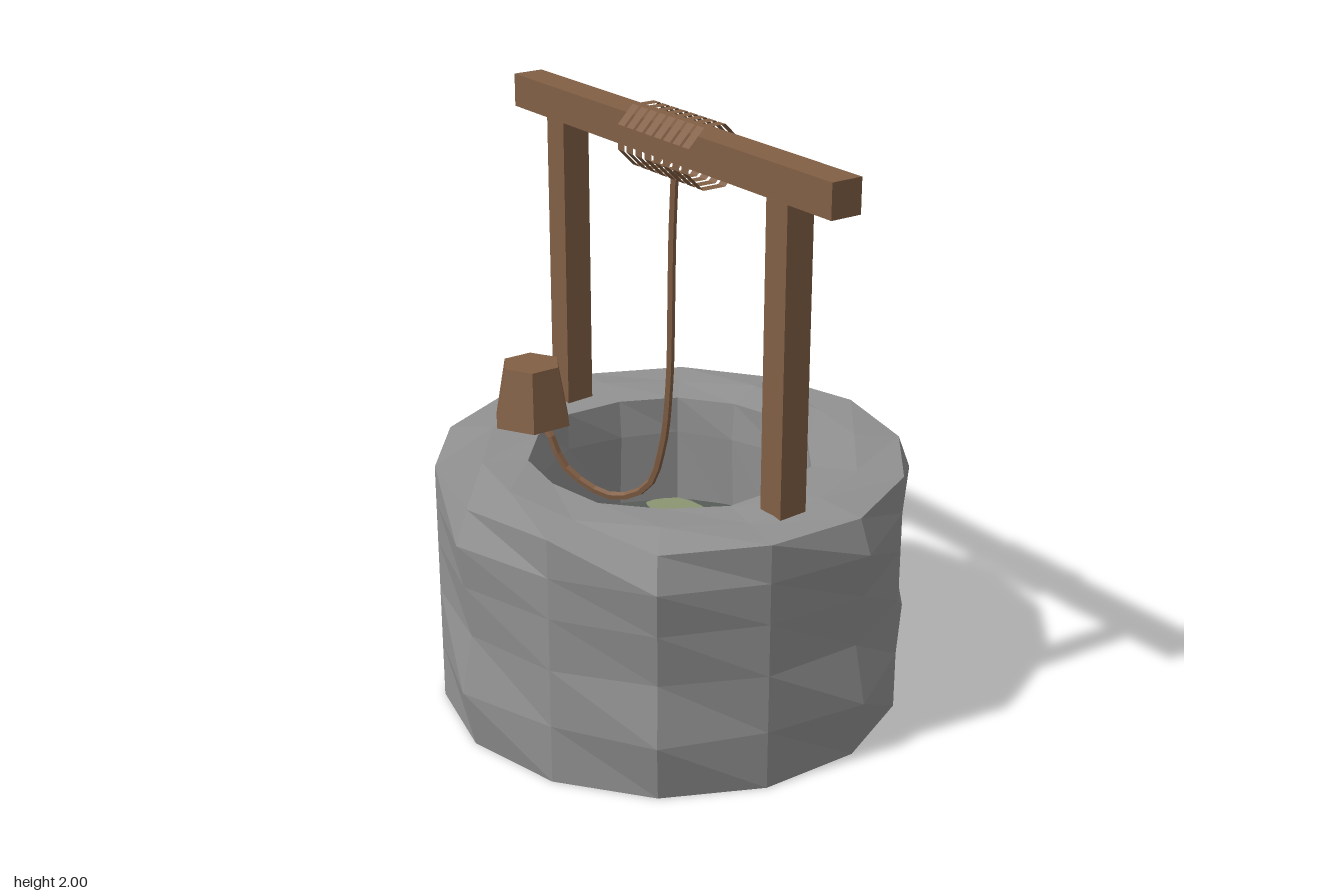
import * as THREE from 'three';

const CZ = -0.022; // depth of the well's axis
const SIDES = 14;

function material(name, color, side = THREE.FrontSide) {
  const m = new THREE.MeshStandardMaterial({ color, side, flatShading: true });
  m.name = name;
  return m;
}

// Ring swept from a closed profile; every other corner uses the bulged radius.
// Each profile entry: [y even, y odd, radius even, radius odd]
function stoneRing(profile) {
  const pos = [], index = [], n = profile.length;
  for (let k = 0; k < SIDES; k++) {
    const a = (k / SIDES) * Math.PI * 2, odd = k % 2;
    for (const p of profile) {
      const r = p[2 + odd];
      pos.push(r * Math.sin(a), p[odd], CZ - r * Math.cos(a));
    }
  }
  for (let k = 0; k < SIDES; k++) {
    const k2 = (k + 1) % SIDES;
    for (let i = 0; i < n; i++) {
      const j = (i + 1) % n;
      const a = k * n + i, b = k * n + j, c = k2 * n + j, d = k2 * n + i;
      index.push(a, b, c, a, c, d);
    }
  }
  const g = new THREE.BufferGeometry();
  g.setAttribute('position', new THREE.Float32BufferAttribute(pos, 3));
  g.setIndex(index);
  g.computeVertexNormals();
  return g;
}

// Flat rounded blob in the ground plane from [x, z] points
function blob(points) {
  const curve = new THREE.CatmullRomCurve3(
    points.map(([x, z]) => new THREE.Vector3(x, z, 0)), true);
  const outline = curve.getPoints(points.length * 3).slice(0, -1);
  const shape = new THREE.Shape(outline.map((p) => new THREE.Vector2(p.x, p.y)));
  return new THREE.ShapeGeometry(shape).rotateX(Math.PI / 2);
}

export function createModel() {
  const group = new THREE.Group();
  const stone = material('stone', 0x929292);
  const wood = material('wood', 0x825f45, THREE.DoubleSide);
  const water = material('water', 0x585c59, THREE.DoubleSide);
  const algae = material('algae', 0x8b9571, THREE.DoubleSide);

  const add = (name, geometry, mat, x = 0, y = 0, z = 0) => {
    const mesh = new THREE.Mesh(geometry, mat);
    mesh.name = name;
    mesh.position.set(x, y, z);
    group.add(mesh);
    return mesh;
  };

  // Stone wall, outside up, over the rim and down the inside
  add('stoneWall', stoneRing([
    [0, 0, 0.785, 0.787],
    [0.2, 0.2, 0.785, 0.827],
    [0.4, 0.4, 0.785, 0.787],
    [0.58, 0.58, 0.785, 0.808],
    [0.72, 0.73, 0.785, 0.829],
    [0.85, 0.845, 0.785, 0.787],
    [0.853, 0.866, 0.63, 0.63],
    [0.85, 0.852, 0.478, 0.468],
    [0.72, 0.72, 0.478, 0.452],
    [0.4, 0.4, 0.478, 0.47],
    [0.2, 0.2, 0.478, 0.455],
    [0, 0, 0.478, 0.475],
  ]), stone);

  // Water with algae patches on both faces
  const waterY = 0.46;
  add('water', new THREE.CircleGeometry(0.476, SIDES).rotateX(-Math.PI / 2), water, 0, waterY, CZ);
  const patches = [
    [[0, -0.48], [0.14, -0.43], [0.13, -0.35], [0.25, -0.36], [0.36, -0.31], [0.37, -0.22],
      [0.27, -0.22], [0.19, -0.28], [0.09, -0.29], [0.06, -0.19], [-0.03, -0.17],
      [-0.06, -0.24], [0.01, -0.32], [-0.11, -0.38]],
    [[-0.36, -0.32], [-0.2, -0.34], [-0.09, -0.28], [-0.13, -0.18], [-0.2, -0.25],
      [-0.3, -0.19], [-0.4, -0.2]],
    [[0.25, -0.18], [0.34, -0.14], [0.42, -0.16], [0.44, 0], [0.36, 0.1], [0.28, 0.02]],
    [[0.0, 0.04], [0.22, 0.03], [0.3, 0.12], [0.2, 0.19], [0.1, 0.16], [0.05, 0.1]],
    [[-0.32, 0.21], [-0.25, 0.28], [-0.13, 0.22], [-0.1, 0.32], [-0.2, 0.4], [-0.27, 0.33]],
    [[0.36, 0.14], [0.44, 0.08], [0.42, 0.18], [0.3, 0.3], [0.26, 0.25]],
    [[0.1, 0.35], [0.17, 0.35], [0.16, 0.41], [0.09, 0.4]],
    [[-0.34, 0.06], [-0.24, 0.04], [-0.21, 0.1], [-0.3, 0.14]],
    [[-0.14, -0.1], [-0.07, -0.12], [-0.05, -0.04], [-0.12, -0.03]],
  ];
  for (const points of patches) {
    const g = blob(points);
    for (const dy of [0.004, -0.004]) add('algaePatch', g, algae, 0, waterY + dy, 0);
  }

  // Timber frame
  for (const s of [-1, 1]) {
    add('post', new THREE.BoxGeometry(0.1, 1.06, 0.1), wood, s * 0.598, 1.33, CZ);
  }
  add('crossBeam', new THREE.BoxGeometry(1.695, 0.112, 0.11), wood, 0, 1.918, CZ - 0.002);

  // Rope wound around the beam: eight open octagonal bands
  const coil = new THREE.CylinderGeometry(0.107, 0.107, 0.036, 8, 1, true)
    .rotateY(Math.PI / 8).rotateZ(Math.PI / 2);
  for (let i = 0; i < 8; i++) {
    add('ropeCoil', coil, wood, -0.143 + i * 0.0494, 1.901, -0.028);
  }

  // Rope hanging into the well and back over the rim to the bucket
  const path = new THREE.CatmullRomCurve3([
    [0.048, 1.82, 0], [0.035, 1.6, 0], [0.03, 1.38, 0], [0.02, 1.1, 0], [-0.005, 0.87, 0.01],
    [-0.06, 0.71, 0.035], [-0.18, 0.65, 0.1], [-0.32, 0.73, 0.19],
    [-0.38, 0.865, 0.225], [-0.46, 0.9, 0.23],
  ].map((p) => new THREE.Vector3(...p)));
  add('rope', new THREE.TubeGeometry(path, 28, 0.014, 5), wood);

  // Upturned six-sided bucket resting on the rim
  const bucket = new THREE.CylinderGeometry(0.103, 0.142, 0.205, 6, 1, true);
  add('bucketSide', bucket, wood, -0.46, 0.972, 0.232);
  const base = new THREE.CylinderGeometry(0.103, 0.104, 0.006, 6);
  add('bucketBase', base, wood, -0.46, 1.073, 0.232);

  return group;
}
